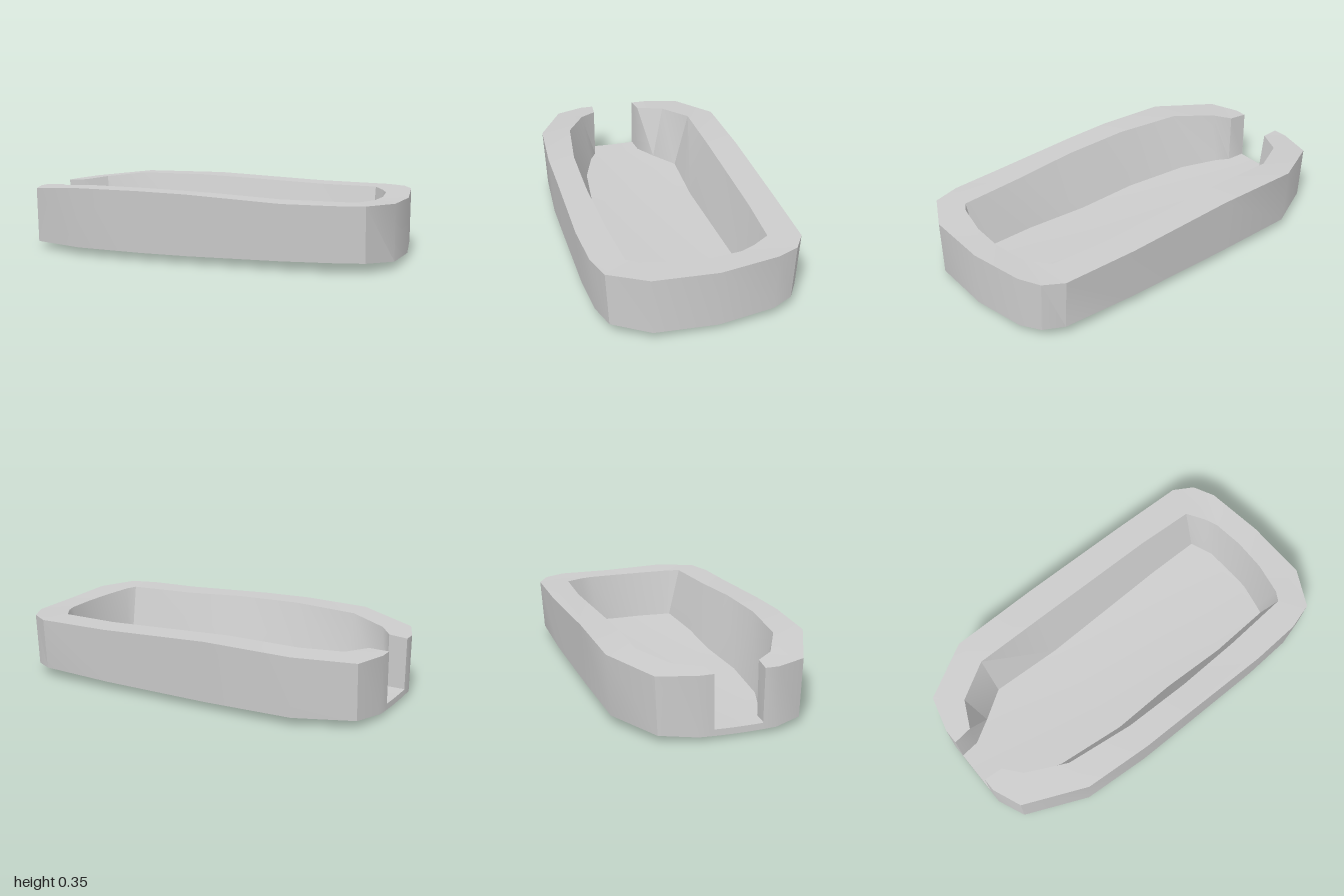
import * as THREE from 'three';
import { toCreasedNormals } from 'three/addons/utils/BufferGeometryUtils.js';

// Stations around the tray, from one side of the end slot to the other:
// outer edge x,z | inner rim x,z | floor edge x,z
const stations = [
  [-1, -0.12, -1, -0.12, -1, -0.12],
  [-1, -0.2, -0.9, -0.13, -0.9, -0.13],
  [-0.95, -0.385, -0.83, -0.27, -0.78, -0.2],
  [-0.67, -0.53, -0.64, -0.375, -0.63, -0.295],
  [-0.2, -0.53, -0.25, -0.372, -0.25, -0.28],
  [0.4, -0.53, 0.45, -0.375, 0.48, -0.295],
  [0.8, -0.52, 0.76, -0.36, 0.76, -0.29],
  [0.9, -0.46, 0.82, -0.27, 0.79, -0.22],
  [0.955, -0.35, 0.85, -0.2, 0.81, -0.17],
  [1, -0.05, 0.87, -0.04, 0.82, -0.02],
  [1, 0.28, 0.865, 0.13, 0.82, 0.1],
  [0.9, 0.47, 0.83, 0.3, 0.79, 0.24],
  [0.76, 0.51, 0.8, 0.35, 0.78, 0.28],
  [0.5, 0.525, 0.45, 0.375, 0.45, 0.295],
  [0, 0.525, 0.1, 0.39, 0.1, 0.28],
  [-0.26, 0.525, -0.26, 0.385, -0.25, 0.29],
  [-0.62, 0.5, -0.62, 0.34, -0.62, 0.25],
  [-0.94, 0.35, -0.83, 0.23, -0.83, 0.18],
  [-1, 0.2, -0.9, 0.14, -0.9, 0.14],
  [-1, 0.13, -1, 0.13, -1, 0.13],
];

const rimHeights = [[-1, 0.32], [-0.9, 0.325], [-0.65, 0.352], [-0.2, 0.355], [0.1, 0.346], [0.5, 0.325], [1, 0.325]];

// Rim height along x, dipping at the middle of the closed end
function rimY(x, z) {
  let k = 1;
  while (k < rimHeights.length - 1 && x > rimHeights[k][0]) k++;
  const [x0, y0] = rimHeights[k - 1];
  const [x1, y1] = rimHeights[k];
  const dip = x > 0.81 ? 0.014 * Math.max(0, 1 - (z / 0.35) ** 2) : 0;
  return THREE.MathUtils.lerp(y0, y1, (x - x0) / (x1 - x0)) - dip;
}

// Shallow bowl shape shared by the underside and the floor
const bowlY = (x, z) => 0.021 * (x + 0.1) ** 2 + 0.036 * (z / 0.5) ** 2;
const FLOOR = 0.032;

// Surface made of quad strips, each between two lines of equal length
function stripMesh(name, strips) {
  const positions = [];
  for (const [a, b] of strips) {
    for (let i = 0; i < a.length - 1; i++) {
      for (const p of [a[i], b[i], b[i + 1], a[i], b[i + 1], a[i + 1]]) positions.push(p.x, p.y, p.z);
    }
  }
  let geometry = new THREE.BufferGeometry();
  geometry.setAttribute('position', new THREE.Float32BufferAttribute(positions, 3));
  geometry = toCreasedNormals(geometry, 0.5);
  const mesh = new THREE.Mesh(geometry, new THREE.MeshStandardMaterial({ color: 0xcccccc, side: THREE.DoubleSide }));
  mesh.name = name;
  return mesh;
}

// Lengthwise lines that fill the area inside an edge loop
function fillLines(edge, lift, across = 8) {
  const half = edge.length / 2;
  return Array.from({ length: across + 1 }, (_, j) =>
    Array.from({ length: half }, (_, i) => {
      const p = edge[i].clone().lerp(edge[edge.length - 1 - i], j / across);
      if (i < half - 1) p.y = bowlY(p.x, p.z) + lift;
      return p;
    }));
}

const pairs = (lines) => lines.slice(1).map((line, j) => [lines[j], line]);

export function createModel() {
  const model = new THREE.Group();
  model.name = 'tray';

  const v = (x, y, z) => new THREE.Vector3(x, y, z);
  const outerTop = stations.map(([x, z]) => v(x, rimY(x, z), z));
  const outerBottom = stations.map(([x, z]) => v(x, bowlY(x, z * 0.965), z * 0.965));
  const innerTop = stations.map(([, , x, z]) => v(x, rimY(x, z), z));
  const floorEdge = stations.map(([, , , , x, z]) => v(x, bowlY(x, z) + FLOOR, z));

  const floorLines = fillLines(floorEdge, FLOOR);
  const baseLines = fillLines(outerBottom, 0);

  model.add(
    stripMesh('outerWall', [[outerBottom, outerTop]]),
    stripMesh('rim', [[outerTop, innerTop]]),
    stripMesh('innerWall', [[innerTop, floorEdge]]),
    stripMesh('floor', pairs(floorLines)),
    stripMesh('base', pairs(baseLines).map(([a, b]) => [b, a])),
    // Thin edge of the floor at the open slot
    stripMesh('slotSill', [[floorLines.map((l) => l[0]), baseLines.map((l) => l[0])]]),
  );
  return model;
}
